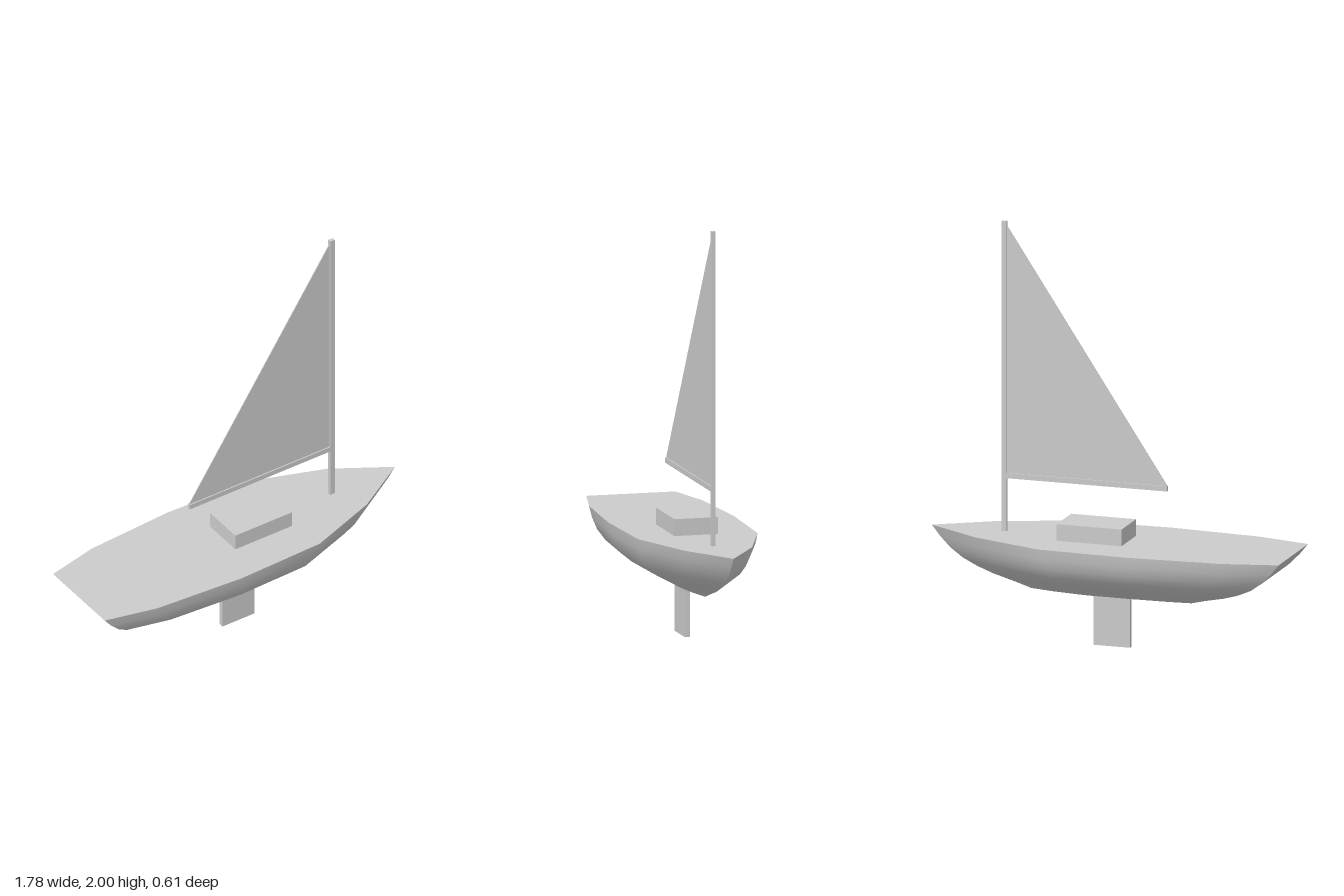
import * as THREE from 'three';

const material = new THREE.MeshStandardMaterial({ color: 0xcccccc, side: THREE.DoubleSide });

// Half outline of the deck, stern to bow: [x, half breadth]
const sheer = [[-0.89, 0.215], [-0.63, 0.275], [-0.18, 0.305], [0.27, 0.29], [0.62, 0.165], [0.89, 0]];
// Hull levels, deck to bottom: [y, length scale, breadth scale]
const levels = [
  [0.51, 1, 1], [0.46, 0.955, 0.975], [0.41, 0.9, 0.92], [0.365, 0.83, 0.82],
  [0.33, 0.75, 0.68], [0.3, 0.66, 0.5], [0.27, 0.54, 0.31], [0.245, 0.45, 0.17],
];

function add(parent, name, geometry) {
  const mesh = new THREE.Mesh(geometry, material);
  mesh.name = name;
  parent.add(mesh);
  return mesh;
}

// Box given by its limits on each axis
function box(parent, name, [x0, x1], [y0, y1], [z0, z1]) {
  const mesh = add(parent, name, new THREE.BoxGeometry(x1 - x0, y1 - y0, z1 - z0));
  mesh.position.set((x0 + x1) / 2, (y0 + y1) / 2, (z0 + z1) / 2);
}

// Smooth skin from a stretch of deck edge down through the levels
function skin(edge) {
  const positions = [], index = [], n = edge.length;
  for (const [y, sx, sz] of levels) {
    for (const [x, z] of edge) positions.push(x * sx, y, z * sz);
  }
  for (let j = 0; j < levels.length - 1; j++) {
    for (let i = 0; i < n - 1; i++) {
      const a = j * n + i, b = a + 1, c = a + n, d = c + 1;
      index.push(a, c, b, b, c, d);
    }
  }
  const geometry = new THREE.BufferGeometry();
  geometry.setAttribute('position', new THREE.Float32BufferAttribute(positions, 3));
  geometry.setIndex(index);
  geometry.computeVertexNormals();
  return geometry;
}

export function createModel() {
  const boat = new THREE.Group();
  boat.name = 'sailboat';

  // Hull: two sides meeting at the stem, and a transom across the stern
  const hull = new THREE.Group();
  hull.name = 'hull';
  boat.add(hull);
  const mirrored = sheer.map(([x, z]) => [x, -z]).reverse();
  add(hull, 'leftHullSide', skin(sheer));
  add(hull, 'rightHullSide', skin(mirrored));
  add(hull, 'transom', skin([mirrored[mirrored.length - 1], sheer[0]]));

  // Flat deck and flat bottom share the same outline
  const outline = new THREE.Shape([...mirrored, ...sheer.slice(0, -1)].map(([x, z]) => new THREE.Vector2(x, z)));
  const [bottomY, bottomX, bottomZ] = levels[levels.length - 1];
  add(boat, 'deck', new THREE.ShapeGeometry(outline).rotateX(-Math.PI / 2).translate(0, levels[0][0], 0));
  add(hull, 'hullBottom', new THREE.ShapeGeometry(outline).scale(bottomX, bottomZ, 1)
    .rotateX(Math.PI / 2).translate(0, bottomY, 0));

  // Fittings
  box(boat, 'keel', [-0.09, 0.09], [0, 0.25], [-0.012, 0.012]);
  box(boat, 'cabin', [-0.08, 0.24], [0.51, 0.59], [-0.105, 0.105]);
  box(boat, 'mast', [0.52, 0.545], [0.51, 2], [-0.009, 0.009]);
  box(boat, 'boom', [-0.27, 0.52], [0.765, 0.79], [-0.008, 0.008]);

  // Thin triangular sail between boom and mast
  const sail = new THREE.Shape([[-0.27, 0.79], [0.52, 0.79], [0.52, 1.98]].map(([x, y]) => new THREE.Vector2(x, y)));
  add(boat, 'sail', new THREE.ExtrudeGeometry(sail, { depth: 0.004, bevelEnabled: false }).translate(0, 0, -0.002));

  return boat;
}
